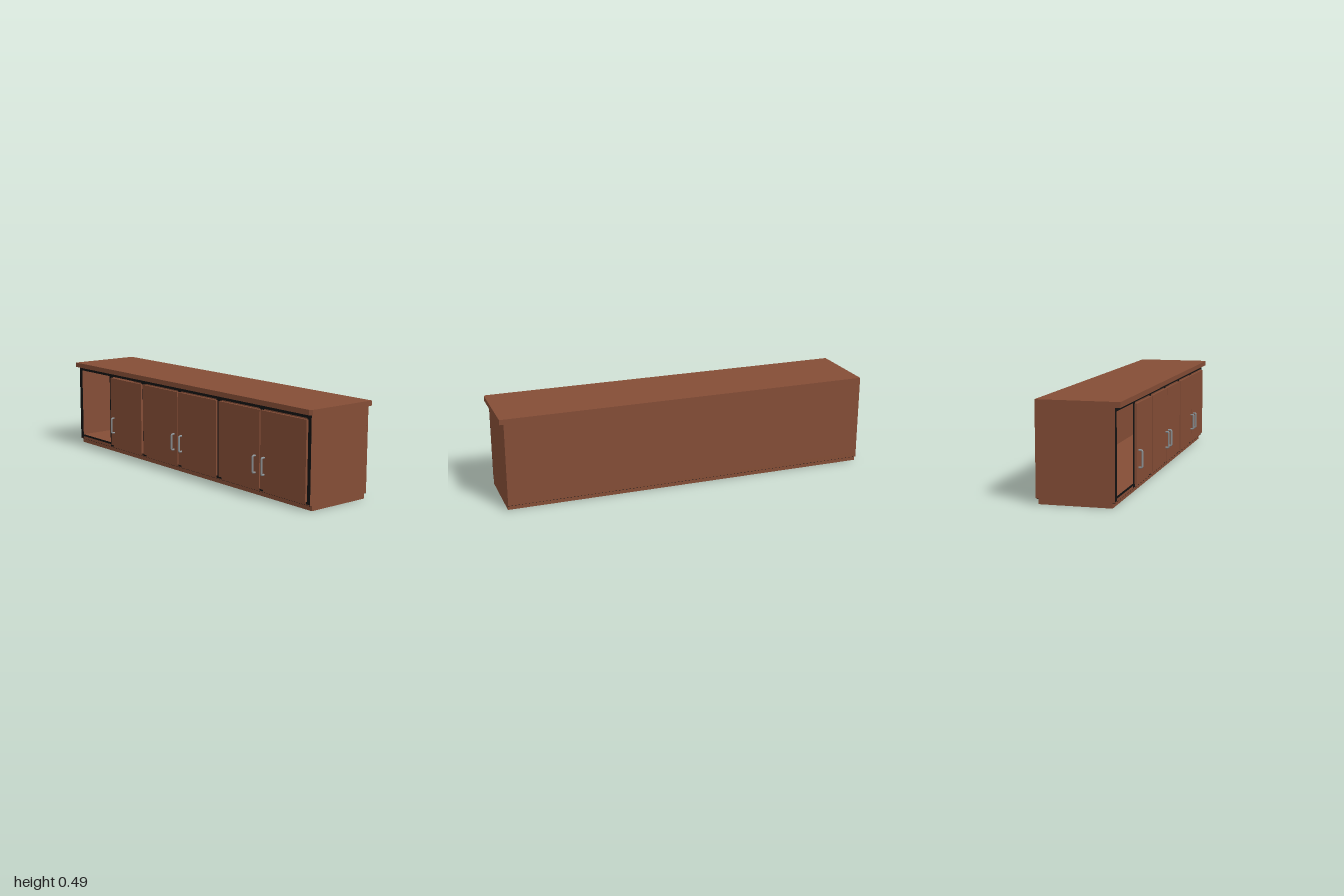
import * as THREE from 'three';

export function createModel() {
  const wood = new THREE.MeshStandardMaterial({ color: 0x844d36 });
  wood.name = 'brown wood';
  const black = new THREE.MeshStandardMaterial({ color: 0x121212 });
  black.name = 'black edging';
  const steel = new THREE.MeshStandardMaterial({ color: 0x8a9093 });
  steel.name = 'grey metal';

  const cabinet = new THREE.Group();
  cabinet.name = 'sideboard';

  // Box given by its limits on each axis
  const box = (name, mat, [x0, x1], [y0, y1], [z0, z1]) => {
    const mesh = new THREE.Mesh(new THREE.BoxGeometry(x1 - x0, y1 - y0, z1 - z0), mat);
    mesh.position.set((x0 + x1) / 2, (y0 + y1) / 2, (z0 + z1) / 2);
    mesh.name = name;
    cabinet.add(mesh);
  };

  const X0 = -0.176, X1 = 0.2045;      // face and back of the carcass
  const Z0 = -0.9965, Z1 = 0.976;      // carcass ends
  const Y0 = 0.026, Y1 = 0.462;        // carcass bottom and top
  const T = 0.026;                     // panel thickness

  // Counter top with one clipped corner
  const outline = new THREE.Shape([
    [-0.202, 0.9965], [-0.202, -0.9845], [-0.19, -0.9965], [X1, -0.9965], [X1, 0.9965],
  ].map(([x, y]) => new THREE.Vector2(x, y)));
  const topGeo = new THREE.ExtrudeGeometry(outline, { depth: 0.026, bevelEnabled: false });
  topGeo.rotateX(-Math.PI / 2);
  const top = new THREE.Mesh(topGeo, wood);
  top.name = 'counterTop';
  top.position.y = Y1;
  cabinet.add(top);

  // Hollow carcass on a recessed plinth
  box('plinth', wood, [-0.164, 0.192], [0, Y0], [Z0, Z1]);
  box('floorPanel', wood, [X0, X1], [Y0, Y0 + T], [Z0, Z1]);
  box('backPanel', wood, [X1 - 0.012, X1], [Y0 + T, Y1], [Z0, Z1]);
  box('endPanel', wood, [X0, X1 - 0.012], [Y0 + T, Y1], [Z0, Z0 + T]);
  box('endPanel', wood, [X0, X1 - 0.012], [Y0 + T, Y1], [Z1 - T, Z1]);
  box('topRail', wood, [X0, X0 + 0.015], [Y1 - 0.02, Y1], [Z0 + T, Z1 - T]);

  // Black underside of the carcass where it overhangs the plinth
  for (const x of [[X0, -0.164], [0.192, X1]]) box('underside', black, x, [Y0 - 0.001, Y0], [Z0, Z1]);

  // Black strips on the face: uprights, then bottom and top
  const face = [X0 - 0.001, X0];
  const strips = [
    [Z0, Z0 + T], [-0.678, -0.645], [-0.362, -0.325], [-0.032, -0.006],
    [0.29, 0.33], [0.623, 0.649], [Z1 - T, Z1],
  ];
  for (const z of strips) box('uprightStrip', black, face, [Y0 + 0.004, Y1], z);
  for (const y of [[0.041, Y0 + T], [Y1 - 0.02, Y1]]) box('railStrip', black, face, y, [Z0 + T, Z1 - T]);

  // Bent bar pull
  const h0 = 0.12, h1 = 0.205, foot = -0.187, grip = -0.2065, r = 0.007;
  const path = new THREE.CurvePath();
  const v = (x, y) => new THREE.Vector3(x, y, 0);
  path.add(new THREE.LineCurve3(v(foot, h0), v(grip + r, h0)));
  path.add(new THREE.QuadraticBezierCurve3(v(grip + r, h0), v(grip, h0), v(grip, h0 + r)));
  path.add(new THREE.LineCurve3(v(grip, h0 + r), v(grip, h1 - r)));
  path.add(new THREE.QuadraticBezierCurve3(v(grip, h1 - r), v(grip, h1), v(grip + r, h1)));
  path.add(new THREE.LineCurve3(v(grip + r, h1), v(foot, h1)));
  const handleGeo = new THREE.TubeGeometry(path, 60, 0.005, 10);

  // Doors: limits along z and handle position
  const doors = [
    [-0.653, -0.353, -0.621], [-0.335, -0.022, -0.0515], [-0.016, 0.3, 0.0135],
    [0.32, 0.633, 0.6035], [0.639, 0.956, 0.6685],
  ];
  for (const [z0, z1, hz] of doors) {
    box('door', wood, [-0.189, X0 - 0.001], [0.043, 0.436], [z0, z1]);
    const handle = new THREE.Mesh(handleGeo, steel);
    handle.name = 'handle';
    handle.position.z = hz;
    cabinet.add(handle);
  }

  // The whole piece stands turned by one degree
  cabinet.rotation.y = -Math.PI / 180;
  const model = new THREE.Group();
  model.name = 'model';
  model.add(cabinet);
  return model;
}
